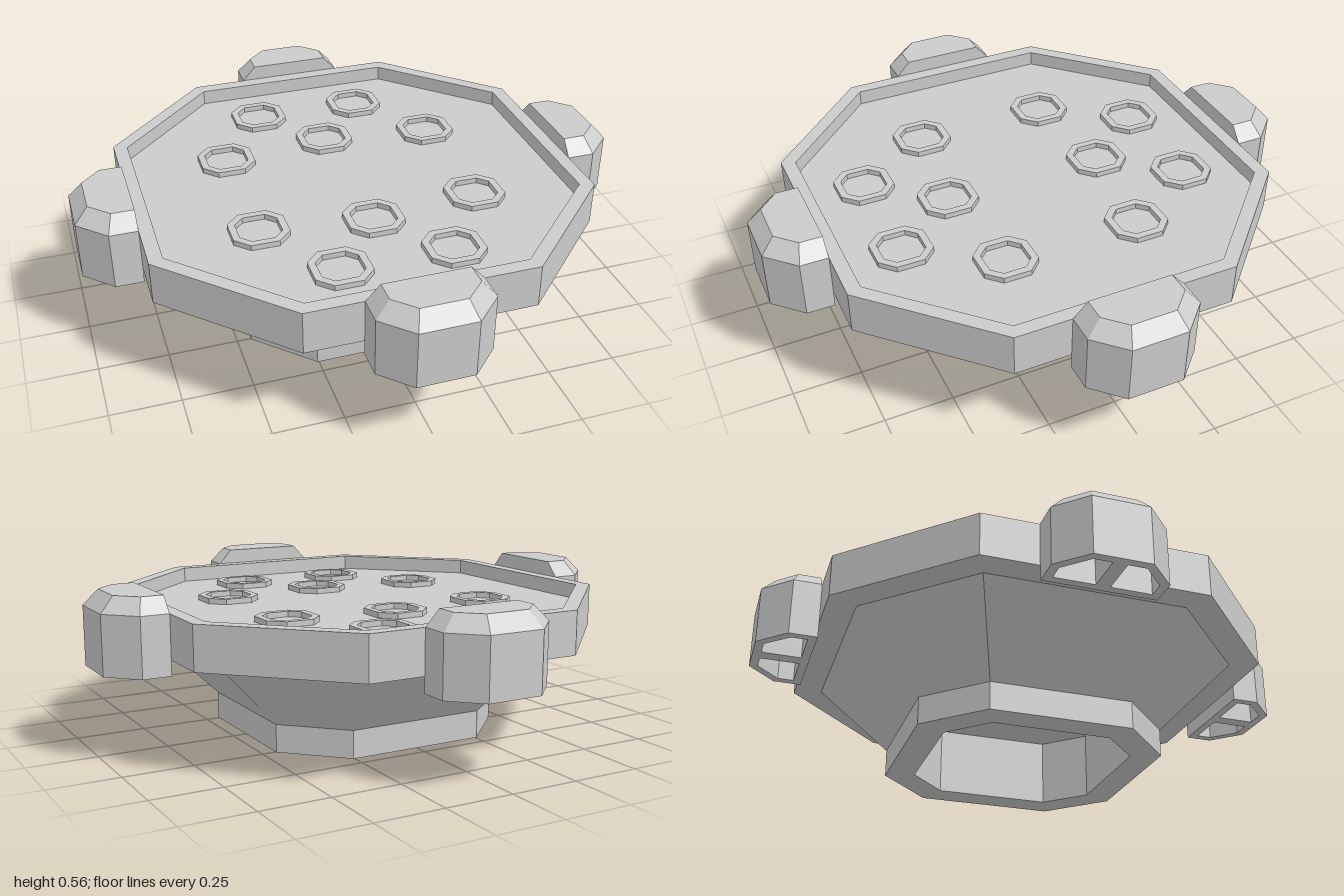
import * as THREE from 'three';

const material = new THREE.MeshStandardMaterial({ color: 0xcccccc, flatShading: true });

// Octagon with flats at a and corners at b, counter-clockwise seen from above
const octagon = (a, b) => [[a, -b], [a, b], [b, a], [-b, a], [-a, b], [-a, -b], [-b, -a], [b, -a]];

// Joins loops of equal length, listed as [points, height]; capStart faces down, capEnd faces up
function loft(sections, capStart = false, capEnd = false) {
  const loops = sections.map(([pts, y]) => pts.map(([x, d]) => [x, y, -d]));
  const n = loops[0].length;
  const pos = [];
  const tri = (a, b, c) => pos.push(...a, ...b, ...c);
  for (let s = 0; s < loops.length - 1; s++) {
    const lo = loops[s], hi = loops[s + 1];
    for (let i = 0; i < n; i++) {
      const j = (i + 1) % n;
      tri(lo[i], lo[j], hi[j]);
      tri(lo[i], hi[j], hi[i]);
    }
  }
  const first = loops[0], last = loops[loops.length - 1];
  for (let i = 1; i < n - 1; i++) {
    if (capStart) tri(first[0], first[i + 1], first[i]);
    if (capEnd) tri(last[0], last[i], last[i + 1]);
  }
  const geo = new THREE.BufferGeometry();
  geo.setAttribute('position', new THREE.Float32BufferAttribute(pos, 3));
  geo.computeVertexNormals();
  return geo;
}

// Upright prism with holes
function prism(outline, holes, y, height) {
  const toVec = (pts) => pts.map(([x, d]) => new THREE.Vector2(x, d));
  const shape = new THREE.Shape(toVec(outline));
  shape.holes = holes.map((h) => new THREE.Path(toVec(h)));
  const geo = new THREE.ExtrudeGeometry(shape, { depth: height, bevelEnabled: false });
  return geo.rotateX(-Math.PI / 2).translate(0, y, 0);
}

function part(name, geometry) {
  const mesh = new THREE.Mesh(geometry, material);
  mesh.name = name;
  return mesh;
}

// Side pod: chamfered cap over a lower shell with two open cells
function createPod() {
  const pod = new THREE.Group();
  const outer = [[0.8, -0.2], [0.9, -0.2], [1, -0.1], [1, 0.1], [0.9, 0.2], [0.8, 0.2]];
  const top = [[0.8, -0.15], [0.88, -0.15], [0.95, -0.08], [0.95, 0.08], [0.88, 0.15], [0.8, 0.15]];
  const cell = [[0.83, 0.025], [0.97, 0.025], [0.97, 0.09], [0.888, 0.17], [0.83, 0.17]];
  const mirrored = cell.map(([x, d]) => [x, -d]);
  pod.add(part('podShell', prism(outer, [cell, mirrored], 0.3, 0.16)));
  pod.add(part('podCap', loft([[outer, 0.46], [outer, 0.51], [top, 0.565]], true, true)));
  return pod;
}

export function createModel() {
  const model = new THREE.Group();
  model.name = 'octagonalPlatform';

  const baseInner = octagon(0.347, 0.212);
  const baseOuter = octagon(0.45, 0.255);
  const hullTop = octagon(0.7, 0.358);
  const plateOuter = octagon(0.8, 0.4);
  const plateInner = octagon(0.75, 0.38);
  const floorY = 0.455;

  // Foot ring with its hollow underside
  model.add(part('baseRing', loft([[baseInner, 0.25], [baseInner, 0], [baseOuter, 0], [baseOuter, 0.1]], true)));
  // Flared hull
  model.add(part('hull', loft([[baseOuter, 0.1], [hullTop, 0.355]])));
  // Deck with raised rim and sunken floor
  model.add(part('deck', loft([
    [hullTop, 0.355], [plateOuter, 0.355], [plateOuter, 0.51], [plateInner, 0.51], [plateInner, floorY],
  ], false, true)));

  // Raised rings on the deck, mirrored front to back
  const ringGeo = prism(octagon(0.1, 0.05), [octagon(0.075, 0.04)], floorY, 0.02);
  for (const [x, z] of [[-0.2, 0.55], [0.2, 0.55], [-0.4, 0.25], [0.4, 0.25], [0, 0.3]]) {
    for (const side of [1, -1]) {
      const ring = part('deckRing', ringGeo);
      ring.position.set(x, 0, z * side);
      model.add(ring);
    }
  }

  // Four pods around the deck
  ['leftPod', 'backPod', 'rightPod', 'frontPod'].forEach((name, i) => {
    const pod = createPod();
    pod.name = name;
    pod.rotation.y = i * Math.PI / 2;
    model.add(pod);
  });

  return model;
}
